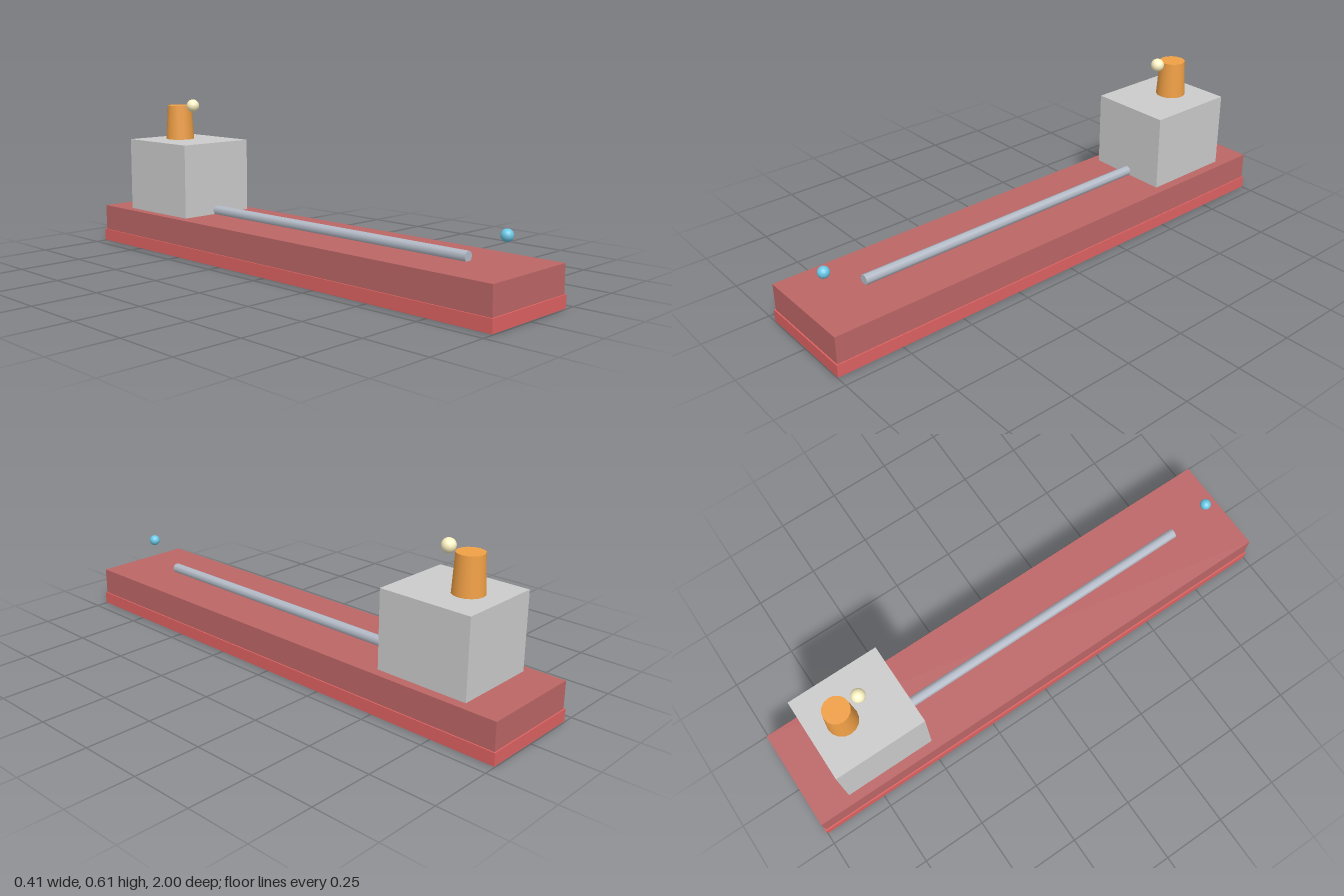
import * as THREE from 'three';

export function createModel() {
  const group = new THREE.Group();

  const add = (name, geometry, color, x, y, z) => {
    const mesh = new THREE.Mesh(geometry, new THREE.MeshStandardMaterial({ color }));
    mesh.name = name;
    mesh.position.set(x, y, z);
    group.add(mesh);
    return mesh;
  };

  // Long flat hull with a slightly proud band around its foot
  add('hull', new THREE.BoxGeometry(0.4, 0.153, 1.99), 0xbd6666, 0, 0.0765, 0);
  add('hullBand', new THREE.BoxGeometry(0.41, 0.047, 2), 0xde6262, 0, 0.0265, 0);

  // Deckhouse near the stern
  add('cabin', new THREE.BoxGeometry(0.327, 0.292, 0.36), 0xcccccc, 0, 0.299, -0.675);

  // Tapered funnel on the roof
  add('funnel', new THREE.CylinderGeometry(0.05, 0.058, 0.14, 16), 0xf0a046, 0, 0.515, -0.73);

  // Pipe lying along the deck, running up to the cabin
  const pipe = add('deckPipe', new THREE.CylinderGeometry(0.02, 0.02, 1.26, 8), 0xb4bcc8, 0, 0.168, 0.13);
  pipe.rotation.x = Math.PI / 2;

  // Navigation lights
  add('mastLight', new THREE.SphereGeometry(0.026, 16, 12), 0xfff4c4, 0, 0.587, -0.643);
  add('bowLight', new THREE.SphereGeometry(0.0215, 16, 12), 0x6cc8e6, 0, 0.259, 0.905);

  return group;
}
